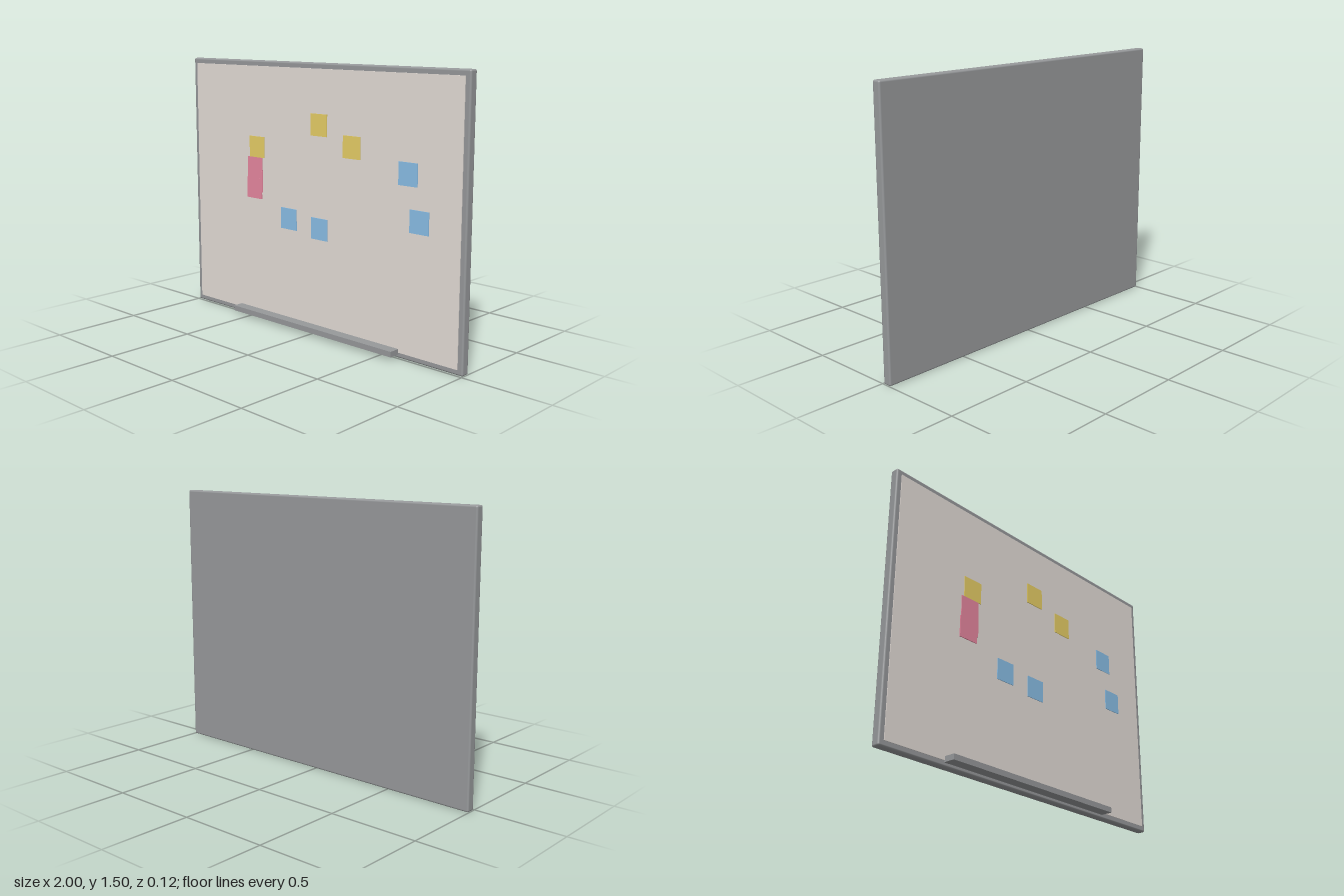
import * as THREE from 'three';
import { RoundedBoxGeometry } from 'three/addons/geometries/RoundedBoxGeometry.js';

const material = (name, color) => {
  const m = new THREE.MeshStandardMaterial({ color });
  m.name = name;
  return m;
};

export function createModel() {
  const group = new THREE.Group();
  group.name = 'noticeBoard';

  const grey = material('frame grey', 0x97999b);
  const ivory = material('board ivory', 0xe4ddd7);
  const yellow = material('note yellow', 0xe7ce66);
  const blue = material('note blue', 0x8cc1ea);
  const pink = material('note pink', 0xe888a0);

  const add = (name, geometry, mat, x, y, z) => {
    const mesh = new THREE.Mesh(geometry, mat);
    mesh.name = name;
    mesh.position.set(x, y, z);
    group.add(mesh);
  };

  // Frame slab with softened edges, and the writing surface on its front
  add('frame', new RoundedBoxGeometry(2, 1.5, 0.05, 2, 0.01), grey, 0, 0.75, -0.033);
  add('writingSurface', new THREE.BoxGeometry(1.94, 1.44, 0.006), ivory, 0, 0.75, -0.007);

  // Pen tray along the bottom edge
  add('penTray', new THREE.BoxGeometry(1.2, 0.03, 0.07), grey, 0, 0.035, 0.023);

  // Sticky notes: colour, x, y
  const noteShape = new THREE.BoxGeometry(0.12, 0.12, 0.005);
  const notes = [
    [yellow, -0.45, 1.01], [yellow, 0.035, 1.17], [yellow, 0.27, 1.07],
    [blue, 0.645, 0.97], [blue, 0.72, 0.735], [blue, -0.195, 0.625], [blue, 0.04, 0.6],
    [pink, -0.467, 0.89], [pink, -0.465, 0.81], [pink, -0.473, 0.77],
  ];
  notes.forEach(([mat, x, y], i) => {
    // Pink notes overlap, so each sits a hair further out
    const lift = mat === pink ? 0.0004 * (i - 6) : 0;
    add('stickyNote' + (i + 1), noteShape, mat, x, y, -0.0025 + lift);
  });

  return group;
}
